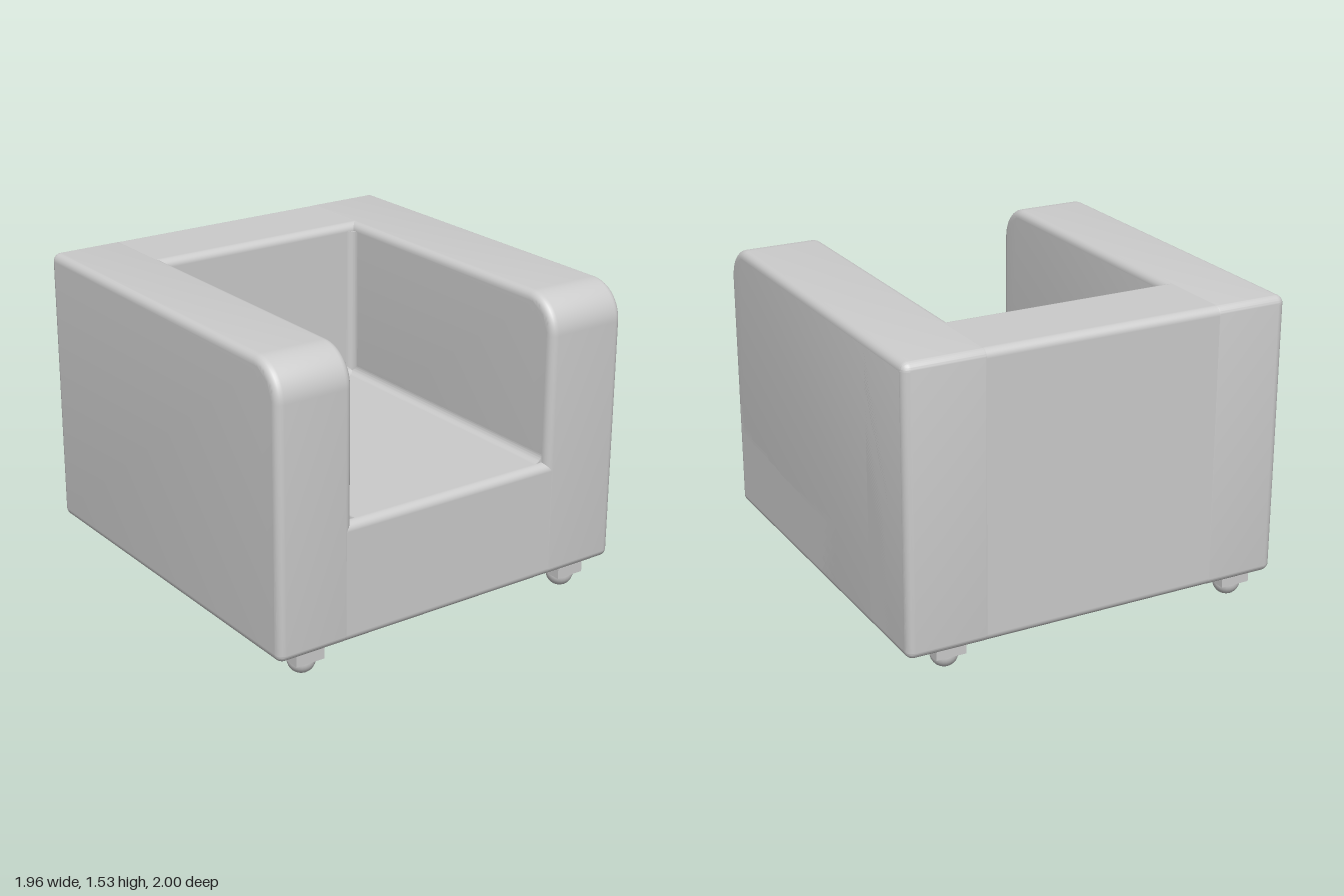
import * as THREE from 'three';
import { toCreasedNormals } from 'three/addons/utils/BufferGeometryUtils.js';
import { RoundedBoxGeometry } from 'three/addons/geometries/RoundedBoxGeometry.js';

const R = 0.04; // edge rounding of the upholstery
const X0 = -0.978, X1 = 0.978, Y0 = 0.125, Y1 = 1.53; // outer body
const IN0 = -0.58, IN1 = 0.547, SEAT = 0.715, BACK = -0.565; // seat recess

export function createModel() {
  const model = new THREE.Group();
  const material = new THREE.MeshStandardMaterial({ color: 0xcccccc });

  const add = (name, geometry, x = 0, y = 0, z = 0, parent = model) => {
    const mesh = new THREE.Mesh(geometry, material);
    mesh.name = name;
    mesh.position.set(x, y, z);
    parent.add(mesh);
    return mesh;
  };

  // Rounded block given by its limits
  const block = (name, x0, x1, y0, y1, z0, z1) =>
    add(name, new RoundedBoxGeometry(x1 - x0, y1 - y0, z1 - z0, 5, R),
      (x0 + x1) / 2, (y0 + y1) / 2, (z0 + z1) / 2);

  block('seatBase', X0, X1, Y0, SEAT, -1, 1);
  block('backrest', X0, X1, Y0, Y1, -1, BACK);

  // Arm: side profile (z, y) with a large curve at the upper front
  const arm = (name, x0, x1) => {
    const big = 0.18, s = new THREE.Shape();
    s.absarc(1 - R, Y0 + R, R, -Math.PI / 2, 0);
    s.absarc(1 - big, Y1 - big, big, 0, Math.PI / 2);
    s.absarc(-1 + R, Y1 - R, R, Math.PI / 2, Math.PI);
    s.absarc(-1 + R, Y0 + R, R, Math.PI, Math.PI * 1.5);
    const depth = x1 - x0 - 2 * R;
    const g = new THREE.ExtrudeGeometry(s, {
      depth, curveSegments: 10, bevelSegments: 6,
      bevelSize: R, bevelThickness: R, bevelOffset: -R * 0.98,
    });
    g.translate(0, 0, -depth / 2).rotateY(-Math.PI / 2);
    add(name, toCreasedNormals(g, 0.6), (x0 + x1) / 2);
  };
  arm('leftArm', IN1, X1);
  arm('rightArm', X0, IN0);

  // Soft concave fillets along the inner corners of the recess
  const fillet = (length, turn = 0) => {
    const s = new THREE.Shape();
    s.moveTo(0, 0);
    s.lineTo(R, 0);
    s.absarc(R, R, R, -Math.PI / 2, -Math.PI, true);
    s.lineTo(0, 0);
    const g = new THREE.ExtrudeGeometry(s, { depth: length, bevelEnabled: false, curveSegments: 6 });
    return toCreasedNormals(g.rotateZ(turn), 0.6);
  };
  const q = Math.PI / 2, run = 1 - R - BACK, rise = Y1 - R - SEAT;
  add('rightSeatFillet', fillet(run), IN0, SEAT, BACK);
  add('leftSeatFillet', fillet(run, q), IN1, SEAT, BACK);
  add('backSeatFillet', fillet(IN1 - IN0).rotateY(-q), IN1, SEAT, BACK);
  add('rightCornerFillet', fillet(rise, -q).rotateX(-q), IN0, SEAT, BACK);
  add('leftCornerFillet', fillet(rise, 2 * q).rotateX(-q), IN1, SEAT, BACK);

  // Feet: square plate with a ball below
  for (const [side, x] of [['left', 0.745], ['right', -0.797]]) {
    for (const [end, z] of [['Front', 0.905], ['Back', -0.887]]) {
      const foot = new THREE.Group();
      foot.name = side + end + 'Foot';
      foot.position.set(x, 0, z);
      add('footPlate', new THREE.BoxGeometry(0.152, 0.065, 0.152), 0, 0.1075, 0, foot);
      add('footBall', new THREE.SphereGeometry(0.067, 24, 16), 0, 0.067, 0, foot);
      model.add(foot);
    }
  }
  return model;
}
